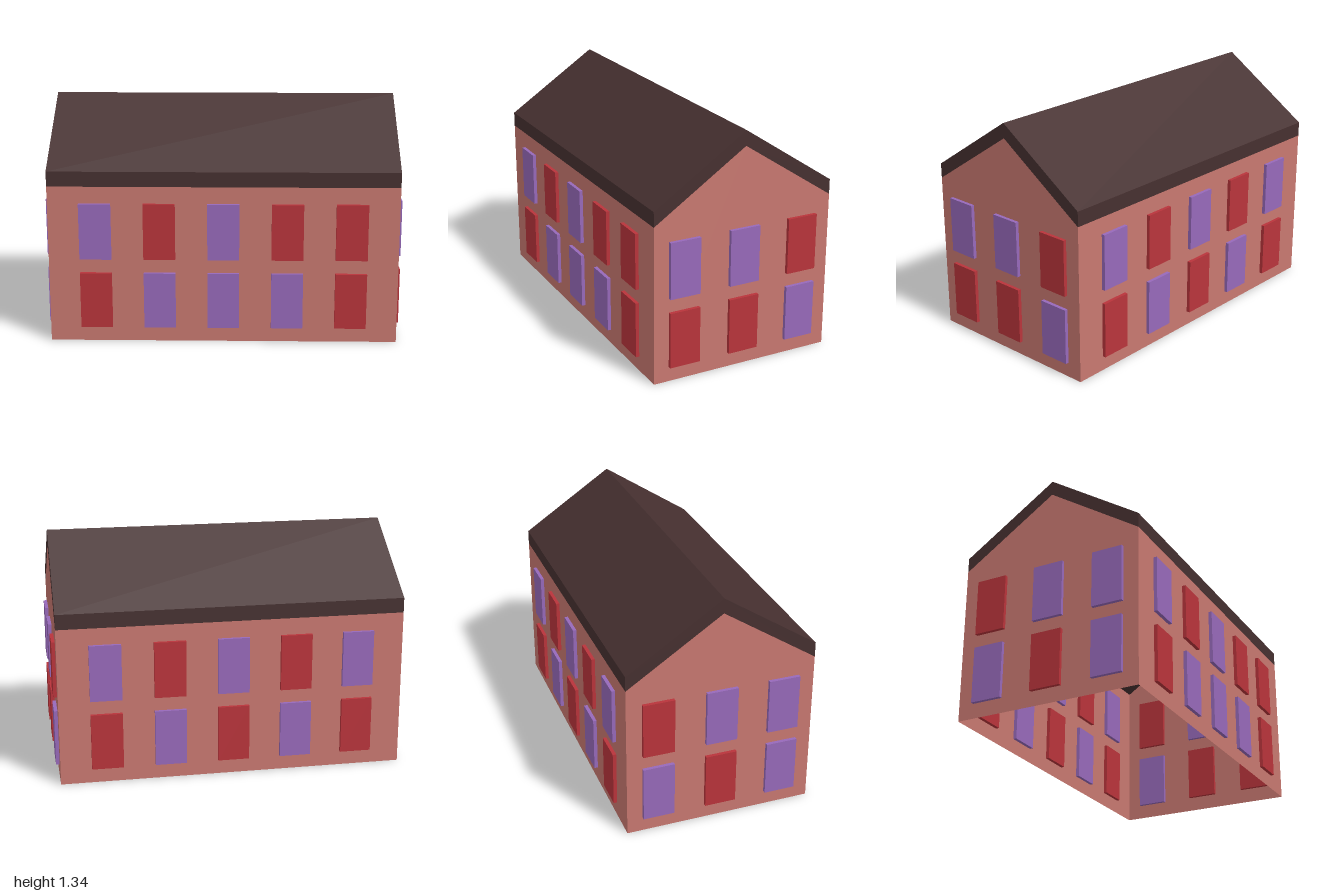
import * as THREE from 'three';

const HALF_X = 0.98, HALF_Z = 0.535;
const EAVE = 0.9, RIDGE = 1.255, ROOF_T = 0.085;
const PITCH = 0.358, ROWS = [0.645, 0.245];

const material = (name, color, side = THREE.FrontSide) => {
  const m = new THREE.MeshStandardMaterial({ color, side });
  m.name = name;
  return m;
};

const shapeOf = (points) => new THREE.Shape(points.map(([x, y]) => new THREE.Vector2(x, y)));

export function createModel() {
  const house = new THREE.Group();
  house.name = 'house';

  const wallMat = material('pink wall', 0xc87870, THREE.DoubleSide);
  const roofMat = material('dark brown roof', 0x463030);
  const paneMats = {
    P: material('purple window', 0x9769ba),
    R: material('red window', 0xb9343b),
  };

  // Each side: outward turn, distance from centre, and window colours
  // (upper row, lower row) from left to right as seen from outside.
  const sides = [
    { name: 'front', turn: 0, dist: HALF_Z, rows: ['PRPRR', 'RPPPR'] },
    { name: 'right', turn: Math.PI / 2, dist: HALF_X, rows: ['PPR', 'RRP'], gable: true },
    { name: 'back', turn: Math.PI, dist: HALF_Z, rows: ['PRPRP', 'RPRPR'] },
    { name: 'left', turn: -Math.PI / 2, dist: HALF_X, rows: ['RPP', 'PRP'], gable: true },
  ];
  // Model's own left is +x
  sides[1].name = 'left';
  sides[3].name = 'right';

  const longWall = new THREE.ShapeGeometry(shapeOf(
    [[-HALF_X, 0], [HALF_X, 0], [HALF_X, EAVE], [-HALF_X, EAVE]]));
  const gableWall = new THREE.ShapeGeometry(shapeOf(
    [[-HALF_Z, 0], [HALF_Z, 0], [HALF_Z, EAVE], [0, RIDGE], [-HALF_Z, EAVE]]));
  const windowGeo = new THREE.BoxGeometry(0.178, 0.32, 0.04);

  for (const { name, turn, dist, rows, gable } of sides) {
    const side = new THREE.Group();
    side.name = `${name}Side`;
    side.rotation.y = turn;

    // Thin open-bottomed wall
    const wall = new THREE.Mesh(gable ? gableWall : longWall, wallMat);
    wall.name = `${name}Wall`;
    wall.position.z = dist;
    side.add(wall);

    // Window blocks set through the wall, standing out on both faces
    rows.forEach((row, r) => [...row].forEach((colour, i) => {
      const pane = new THREE.Mesh(windowGeo, paneMats[colour]);
      pane.name = `${name}Window${r + 1}_${i + 1}`;
      pane.position.set((i - (row.length - 1) / 2) * PITCH, ROWS[r], dist);
      side.add(pane);
    }));
    house.add(side);
  }

  // Pitched roof slab, flush with the walls
  const roofGeo = new THREE.ExtrudeGeometry(shapeOf([
    [-HALF_Z, EAVE], [0, RIDGE], [HALF_Z, EAVE],
    [HALF_Z, EAVE + ROOF_T], [0, RIDGE + ROOF_T], [-HALF_Z, EAVE + ROOF_T],
  ]), { depth: 2 * HALF_X, bevelEnabled: false });
  roofGeo.translate(0, 0, -HALF_X);
  const roof = new THREE.Mesh(roofGeo, roofMat);
  roof.name = 'roof';
  roof.rotation.y = Math.PI / 2;
  house.add(roof);

  return house;
}
